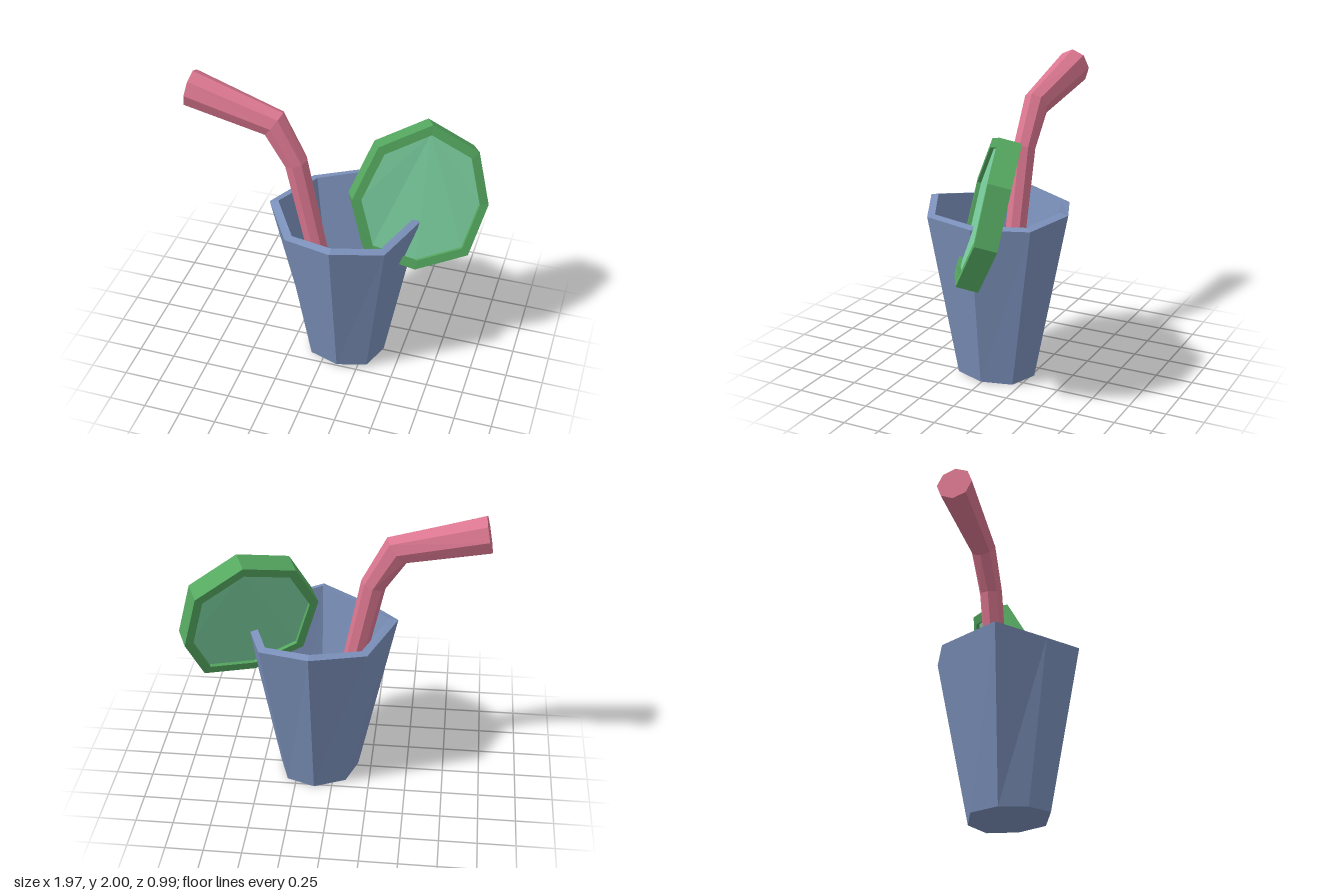
import * as THREE from 'three';

const V = (x, y, z) => new THREE.Vector3(x, y, z);

// Skins matching rings of points; closes the ends with caps, or joins last ring to first.
function loft(rings, loop = false) {
  const n = rings[0].length, tris = [];
  const last = loop ? rings.length : rings.length - 1;
  for (let r = 0; r < last; r++) {
    const a = rings[r], b = rings[(r + 1) % rings.length];
    for (let i = 0; i < n; i++) {
      const j = (i + 1) % n;
      tris.push([a[i], a[j], b[j]], [a[i], b[j], b[i]]);
    }
  }
  if (!loop) {
    const end = rings[rings.length - 1];
    for (let i = 1; i < n - 1; i++) {
      tris.push([rings[0][0], rings[0][i + 1], rings[0][i]], [end[0], end[i], end[i + 1]]);
    }
  }
  // turn all faces outward using the signed volume
  let volume = 0;
  for (const [a, b, c] of tris) volume += a.dot(b.clone().cross(c));
  const pos = [];
  for (const [a, b, c] of tris) {
    for (const p of volume < 0 ? [a, c, b] : [a, b, c]) pos.push(p.x, p.y, p.z);
  }
  const geo = new THREE.BufferGeometry();
  geo.setAttribute('position', new THREE.Float32BufferAttribute(pos, 3));
  geo.computeVertexNormals();
  return geo;
}

function part(name, geo, color) {
  const mesh = new THREE.Mesh(geo, new THREE.MeshStandardMaterial({ color, flatShading: true }));
  mesh.name = name;
  return mesh;
}

// Scales a ring about a centre in x and z only, at a height given by a rule
const inset = (ring, cx, s, yRule) => ring.map(p => V(cx + (p.x - cx) * s, yRule(p.y), p.z * s));

function makeCup() {
  const rim = [
    V(0.13, 1.17, 0.49), V(0.45, 1.13, 0.34), V(0.58, 1.14, -0.04), V(0.45, 1.14, -0.39),
    V(0.12, 1.165, -0.5), V(-0.24, 1.13, -0.35), V(-0.41, 1.165, 0.06), V(-0.21, 1.105, 0.35),
  ];
  const base = [
    V(0.12, 0.04, 0.28), V(0.31, 0.015, 0.2), V(0.38, 0.01, 0), V(0.31, 0, -0.2),
    V(0.12, 0, -0.27), V(-0.09, 0.01, -0.19), V(-0.16, 0.01, 0.01), V(-0.09, 0.015, 0.19),
  ];
  const innerRim = inset(rim, 0.12, 0.89, y => y + 0.012);
  const floor = inset(base, 0.12, 0.8, () => 0.06);
  return part('cup', loft([base, rim, innerRim, floor]), 0x7b90ba);
}

function makeStraw() {
  // centre, half-width vector in the bending plane, half-width in z
  const stations = [
    [V(-0.965, 1.875, -0.048), V(0.025, 0.125, 0), 0.115],
    [V(-0.393, 1.725, -0.026), V(0.063, 0.087, 0), 0.082],
    [V(-0.247, 1.465, -0.014), V(0.078, 0.027, 0), 0.075],
    [V(0.05, 0.05, 0.005), V(0.065, 0.014, 0), 0.067],
  ];
  const rings = stations.map(([c, u, w]) => Array.from({ length: 8 }, (_, i) => {
    const t = i * Math.PI / 4;
    return c.clone().addScaledVector(u, Math.cos(t)).add(V(0, 0, w * Math.sin(t)));
  }));
  return part('straw', loft(rings), 0xd9768f);
}

function makeSlice() {
  const front = [
    V(0.59, 1.76, -0.25), V(0.885, 1.565, -0.325), V(0.98, 1.2, -0.28), V(0.9, 0.89, -0.11),
    V(0.59, 0.835, 0.07), V(0.28, 0.97, 0.165), V(0.17, 1.345, 0.12), V(0.29, 1.66, -0.05),
  ];
  const depth = V(-0.06, -0.037, -0.122);
  const centre = front.reduce((s, p) => s.add(p), V(0, 0, 0)).divideScalar(front.length);
  // ring at a relative size and a relative depth through the slice
  const ring = (s, d) => front.map(p => centre.clone().lerp(p, s).addScaledVector(depth, d));

  const slice = new THREE.Group();
  slice.name = 'limeSlice';
  slice.add(
    part('limePeel', loft([ring(0.87, 0), ring(1, 0), ring(1, 1), ring(0.87, 1)], true), 0x55a860),
    part('limeFlesh', loft([ring(0.872, 0.17), ring(0.872, 0.83)]), 0x7bd0a0),
  );
  return slice;
}

export function createModel() {
  const model = new THREE.Group();
  model.name = 'drinkWithStraw';
  model.add(makeCup(), makeStraw(), makeSlice());
  return model;
}
